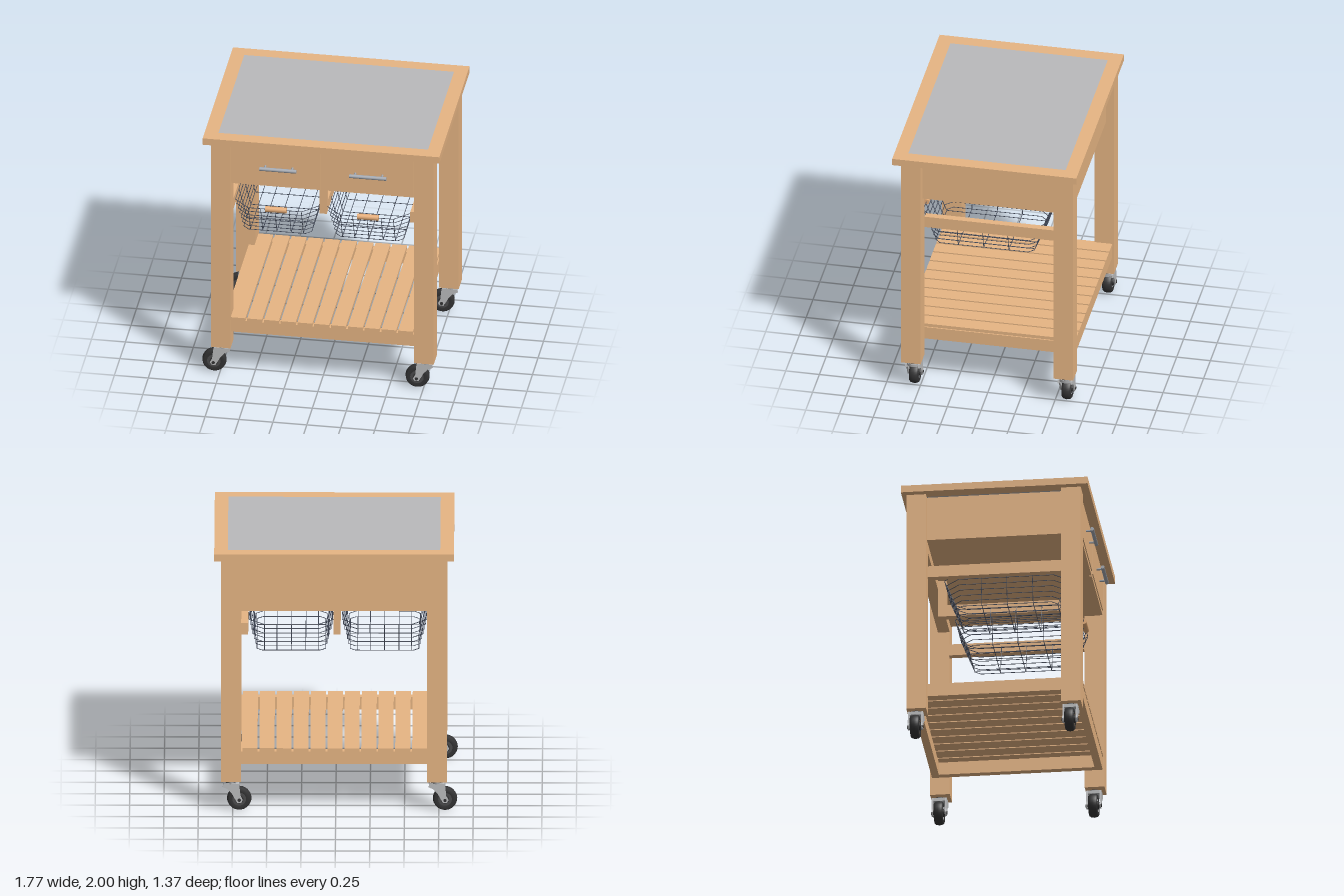
import * as THREE from 'three';
import { mergeGeometries } from 'three/addons/utils/BufferGeometryUtils.js';

const mat = (name, color) => Object.assign(new THREE.MeshStandardMaterial({ color }), { name });

export function createModel() {
  const wood = mat('wood', 0xe8b684);
  const gripWood = mat('grip wood', 0xe6ad78);
  const steel = mat('steel top', 0xb9b9bb);
  const handleMetal = mat('handle metal', 0xa6abb3);
  const casterMetal = mat('caster metal', 0xbcbdbf);
  const rubber = mat('rubber', 0x333334);
  const hubGrey = mat('hub grey', 0x4c4c4d);
  const wire = mat('wire', 0x454c5c);

  const root = new THREE.Group();
  root.name = 'kitchenTrolley';

  const add = (parent, name, geo, m) => {
    const mesh = new THREE.Mesh(geo, m);
    mesh.name = name;
    parent.add(mesh);
    return mesh;
  };
  // Box given by its limits on each axis
  const box = (name, x0, x1, y0, y1, z0, z1, m = wood, parent = root) => {
    const mesh = add(parent, name, new THREE.BoxGeometry(x1 - x0, y1 - y0, z1 - z0), m);
    mesh.position.set((x0 + x1) / 2, (y0 + y1) / 2, (z0 + z1) / 2);
    return mesh;
  };
  // Round bar between two points
  const bar = (a, b, r, sides = 5) => {
    const p = new THREE.Vector3(...a), d = new THREE.Vector3(...b).sub(p);
    const g = new THREE.CylinderGeometry(r, r, d.length(), sides);
    g.applyQuaternion(new THREE.Quaternion().setFromUnitVectors(new THREE.Vector3(0, 1, 0), d.clone().normalize()));
    g.translate(p.x + d.x / 2, p.y + d.y / 2, p.z + d.z / 2);
    return g;
  };
  const points = list => list.map(p => new THREE.Vector2(...p));

  // Worktop frame with a flush steel plate
  const rect = (x0, x1, z0, z1) => points([[x0, -z1], [x1, -z1], [x1, -z0], [x0, -z0]]);
  const topShape = new THREE.Shape(rect(-0.86, 0.884, -0.684, 0.683));
  topShape.holes.push(new THREE.Path(rect(-0.76, 0.785, -0.585, 0.583)));
  const topGeo = new THREE.ExtrudeGeometry(topShape, { depth: 0.053, bevelEnabled: false });
  add(root, 'worktop', topGeo.rotateX(-Math.PI / 2).translate(0, 1.947, 0), wood);
  box('steelPlate', -0.76, 0.785, 1.947, 2.0, -0.585, 0.583, steel);

  // Legs
  for (const [x0, x1] of [[-0.808, -0.664], [0.688, 0.833]])
    for (const [z0, z1] of [[-0.65, -0.506], [0.482, 0.627]]) box('leg', x0, x1, 0.233, 1.947, z0, z1);

  // Apron and drawer case
  box('backPanel', -0.664, 0.688, 1.533, 1.947, -0.592, -0.506);
  box('leftPanel', 0.688, 0.757, 1.607, 1.947, -0.506, 0.482);
  box('rightPanel', -0.745, -0.664, 1.607, 1.947, -0.506, 0.482);
  box('caseFront', -0.664, 0.688, 1.607, 1.947, 0.56, 0.595);
  box('caseBottom', -0.664, 0.688, 1.607, 1.63, -0.506, 0.56);

  // Drawers: slab, thin raised field, bar handle on two posts
  for (const [x0, x1, hx] of [[-0.66, -0.002, -0.308], [0.014, 0.684, 0.355]]) {
    const drawer = new THREE.Group();
    drawer.name = 'drawer';
    root.add(drawer);
    box('drawerFront', x0, x1, 1.607, 1.947, 0.595, 0.613, wood, drawer);
    box('drawerField', x0 + 0.018, x1 - 0.016, 1.636, 1.918, 0.613, 0.62, wood, drawer);
    add(drawer, 'drawerHandle', mergeGeometries([
      bar([hx - 0.136, 1.775, 0.668], [hx + 0.136, 1.775, 0.668], 0.014, 12),
      ...[-0.1, 0.1].map(o => bar([hx + o, 1.775, 0.615], [hx + o, 1.775, 0.668], 0.008, 8)),
    ]), handleMetal);
  }

  // Basket rails and the posts that hang the middle one
  box('leftRail', 0.637, 0.688, 1.322, 1.41, -0.506, 0.482);
  box('rightRail', -0.717, -0.664, 1.322, 1.41, -0.506, 0.482);
  box('middleRail', -0.035, 0.018, 1.322, 1.41, -0.506, 0.455);
  box('frontPost', -0.035, 0.018, 1.41, 1.607, 0.395, 0.455);
  box('backPost', -0.035, 0.018, 1.41, 1.607, -0.506, -0.445);

  // Wire baskets, tapered towards the floor
  const buildBasket = (cx) => {
    const basket = new THREE.Group();
    basket.name = 'wireBasket';
    root.add(basket);
    const yTop = 1.362, yBot = 1.13, cz = 0.063, r = 0.0026;
    // Half width and half depth at fraction t from floor to rim
    const hw = t => 0.25 + 0.058 * t;
    const hd = t => 0.367 + 0.095 * t;
    const y = t => yBot + (yTop - yBot) * t;
    const parts = [];
    for (let i = 0; i <= 6; i++) {
      const t = i / 6, w = hw(t), d = hd(t), c = 0.04 + 0.07 * t;
      const ring = [[w, d - c], [w - c, d], [c - w, d], [-w, d - c], [-w, c - d], [c - w, -d], [w - c, -d], [w, c - d]]
        .map(([px, pz]) => [cx + px, y(t), cz + pz]);
      ring.forEach((p, k) => parts.push(bar(p, ring[(k + 1) % 8], r)));
    }
    // Ribs run down one wall, across the floor and up the other
    const rib = pts => { for (let k = 0; k < 3; k++) parts.push(bar(pts[k], pts[k + 1], r)); };
    const wall = [[1, 1], [0, 1], [0, -1], [1, -1]];
    for (const o of [-0.195, -0.105, 0, 0.105, 0.195])
      rib(wall.map(([t, s]) => [cx + o, y(t), cz + s * hd(t)]));
    for (const o of [-0.183, 0.003, 0.192])
      rib(wall.map(([t, s]) => [cx + s * hw(t), y(t), cz + o]));
    add(basket, 'basketWires', mergeGeometries(parts), wire);
    add(basket, 'basketGrip',
      bar([cx - 0.07, 1.363, cz + 0.462], [cx + 0.087, 1.363, cz + 0.462], 0.022, 14), gripWood);
  };
  [-0.354, 0.324].forEach(buildBasket);

  // Slatted shelf
  box('shelfFrontRail', -0.664, 0.688, 0.368, 0.465, 0.56, 0.615);
  box('shelfBackRail', -0.664, 0.688, 0.368, 0.465, -0.635, -0.58);
  box('shelfLeftRail', 0.637, 0.688, 0.368, 0.465, -0.58, 0.56);
  box('shelfRightRail', -0.715, -0.664, 0.368, 0.465, -0.506, 0.482);
  for (let i = 0; i < 11; i++) {
    const end = -0.556 + i * 0.1235;
    box('shelfSlat', Math.max(end - 0.1095, -0.664), end, 0.465, 0.49, -0.638, 0.62);
  }

  // Casters, all trailing to the same side
  const forkShape = new THREE.Shape(points([
    [0.05, 0.215], [-0.062, 0.215], [-0.067, 0.19], [-0.074, 0.12], [-0.09, 0.09], [-0.08, 0.07],
    [-0.05, 0.07], [-0.03, 0.105], [-0.012, 0.14], [0.02, 0.175], [0.055, 0.19],
  ]));
  const tyreProfile = points([[0.05, -0.03], [0.075, -0.034], [0.084, -0.024], [0.089, 0],
    [0.084, 0.024], [0.075, 0.034], [0.05, 0.03]]);
  const buildCaster = (x, z) => {
    const caster = new THREE.Group();
    caster.name = 'caster';
    caster.position.set(x, 0, z);
    root.add(caster);
    const disc = (name, r0, r1, h, yy, m) =>
      add(caster, name, new THREE.CylinderGeometry(r0, r1, h, 24), m).position.y = yy;
    disc('swivelStem', 0.02, 0.02, 0.02, 0.228, rubber);
    disc('swivelCap', 0.045, 0.052, 0.01, 0.224, rubber);
    disc('swivelHousing', 0.057, 0.052, 0.026, 0.206, casterMetal);
    box('forkBridge', -0.062, 0.03, 0.19, 0.214, -0.045, 0.045, casterMetal, caster);
    for (const side of [-1, 1]) {
      const g = new THREE.ExtrudeGeometry(forkShape, { depth: 0.012, bevelEnabled: false });
      add(caster, 'forkPlate', g, casterMetal).position.z = side * 0.049 - 0.006;
    }
    const wheel = new THREE.Group();
    wheel.name = 'wheel';
    wheel.position.set(-0.065, 0.09, 0);
    wheel.rotation.x = Math.PI / 2;
    caster.add(wheel);
    add(wheel, 'tyre', new THREE.LatheGeometry(tyreProfile, 32), rubber);
    add(wheel, 'hub', new THREE.CylinderGeometry(0.052, 0.052, 0.054, 28), hubGrey);
    add(wheel, 'hubBoss', new THREE.CylinderGeometry(0.03, 0.03, 0.08, 20), rubber);
    add(wheel, 'axle', new THREE.CylinderGeometry(0.012, 0.012, 0.12, 12), rubber);
  };
  for (const x of [-0.73, 0.767])
    for (const z of [-0.585, 0.547]) buildCaster(x, z);

  return root;
}
